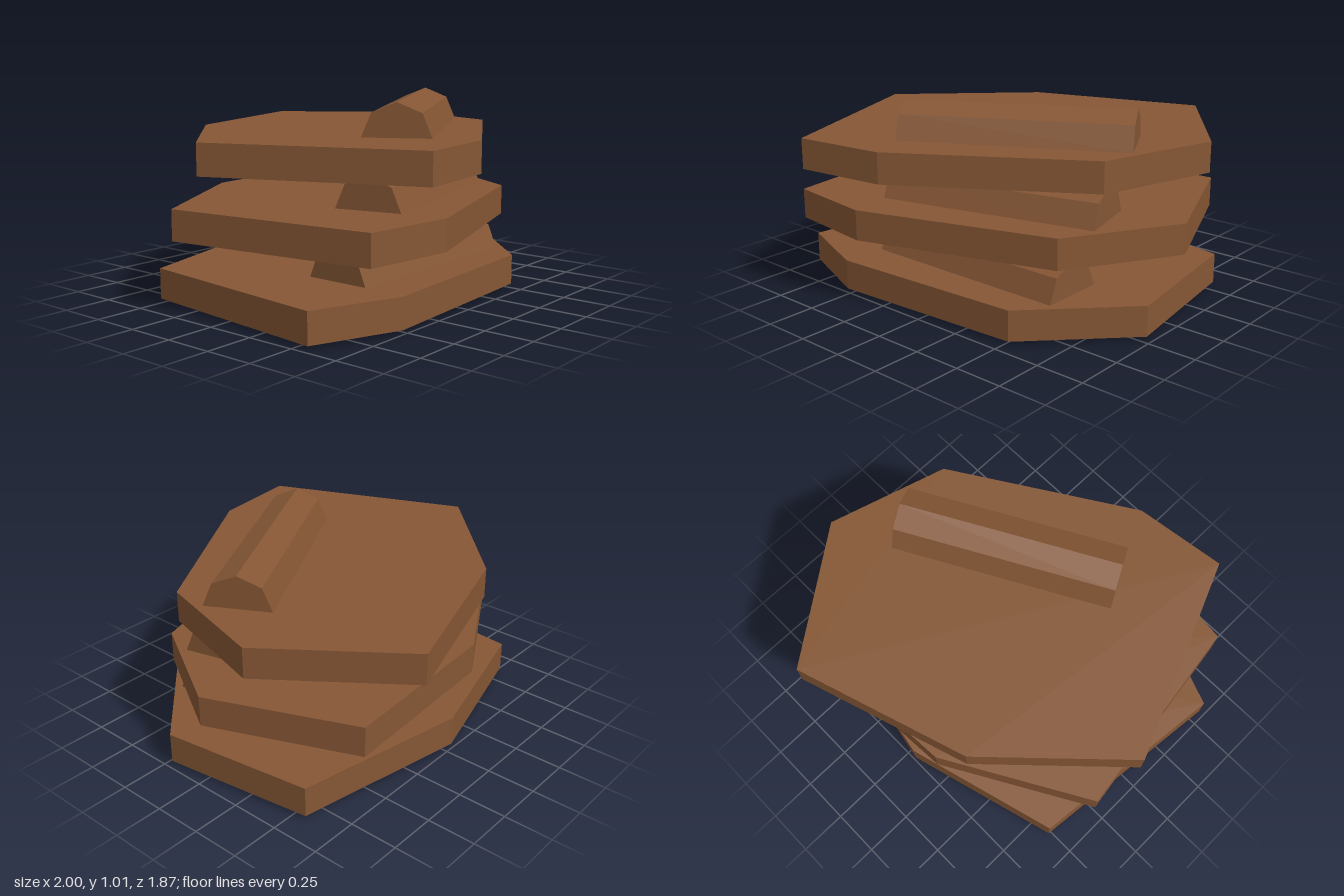
import * as THREE from 'three';

// Irregular seven-sided slab outline, as [x, z] around the twist axis
const OUTLINE = [
  [-0.914, 0.575], [-0.469, 0.75], [0.576, 0.688], [1.029, 0.23],
  [0.918, -0.559], [0.006, -0.732], [-0.8, -0.507],
];
const LAYERS = 3;
const STEP = 0.337; // height of one layer
const TWIST = 0.25; // turn added by each layer, in radians

function faceted(geometry) {
  const flat = geometry.index ? geometry.toNonIndexed() : geometry;
  flat.computeVertexNormals();
  return flat;
}

function slabGeometry() {
  const shape = new THREE.Shape(OUTLINE.map(([x, z]) => new THREE.Vector2(x, -z)));
  const geometry = new THREE.ExtrudeGeometry(shape, { depth: 0.155, bevelEnabled: false });
  geometry.rotateX(-Math.PI / 2);
  return faceted(geometry);
}

function logGeometry() {
  const geometry = new THREE.CylinderGeometry(0.17, 0.17, 1.14, 8);
  geometry.rotateZ(Math.PI / 2);
  return faceted(geometry);
}

export function createModel() {
  const model = new THREE.Group();
  model.name = 'twistedSlabStack';
  const brown = new THREE.MeshStandardMaterial({ color: 0x855634 });
  brown.name = 'brown';

  const slabShape = slabGeometry();
  const logShape = logGeometry();

  for (let i = 0; i < LAYERS; i++) {
    const layer = new THREE.Group();
    layer.name = `layer${i + 1}`;

    // Flat slab
    const slab = new THREE.Mesh(slabShape, brown);
    slab.name = 'slab';
    slab.position.y = 0.017;

    // Eight-sided log sunk through the slab
    const log = new THREE.Mesh(logShape, brown);
    log.name = 'log';
    log.position.set(0.116, 0.17, 0.353);

    layer.add(slab, log);
    layer.position.set(-0.056, i * STEP, -0.008);
    layer.rotation.y = i * TWIST;
    model.add(layer);
  }
  return model;
}
